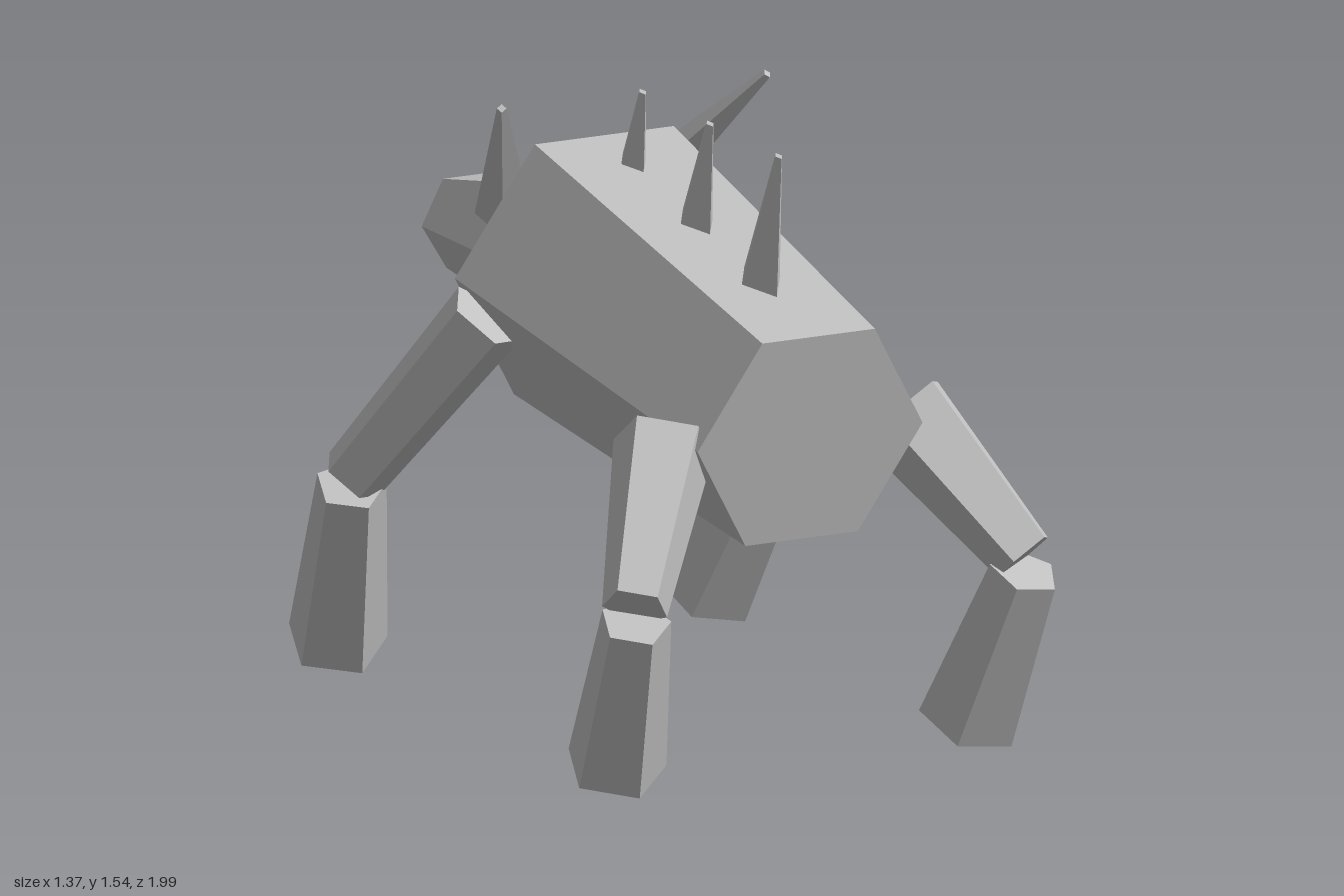
import * as THREE from 'three';

const hide = new THREE.MeshStandardMaterial({ color: 0xc0c0c0 });
hide.name = 'grey';

const vec = (p) => new THREE.Vector3(...p);

// Faceted tapered prism from a to b; one corner of the section points along ref.
function prism(name, a, b, ra, rb, sides, ref, squash = 1) {
  const from = vec(a), to = vec(b);
  const y = to.clone().sub(from);
  const length = y.length();
  y.normalize();
  const z = vec(ref);
  z.addScaledVector(y, -z.dot(y)).normalize();
  const x = y.clone().cross(z);
  const geo = new THREE.CylinderGeometry(rb, ra, length, sides, 1).toNonIndexed();
  geo.scale(squash, 1, 1);
  geo.applyMatrix4(new THREE.Matrix4().makeBasis(x, y, z).setPosition(from.add(to).multiplyScalar(0.5)));
  geo.computeVertexNormals();
  const mesh = new THREE.Mesh(geo, hide);
  mesh.name = name;
  return mesh;
}

export function createModel() {
  const model = new THREE.Group();
  model.name = 'hornedBeast';

  // Body and head, hexagonal with corners at the sides
  model.add(prism('body', [0, 0.865, 0.81], [0, 1.055, -0.325], 0.312, 0.385, 6, [1, 0, 0]));
  model.add(prism('head', [0, 1.06, -0.33], [0, 1.005, -0.986], 0.225, 0.128, 6, [1, 0, 0]));

  // Back spikes: base y, base z, tip z, half length
  const spikes = [
    [1.14, 0.535, 0.645, 0.1],
    [1.22, 0.2, 0.285, 0.085],
    [1.3, -0.13, -0.068, 0.066],
  ];
  for (const [y, z, tipZ, r] of spikes) {
    model.add(prism('backSpike', [0, y, z], [0, 1.54, tipZ], r, 0.016, 4, [0, 0, 1], 0.6));
  }

  for (const s of [1, -1]) {
    const side = s > 0 ? 'left' : 'right';
    const ref = [0, 0, -s];

    // Horn sweeping up and back over the body
    model.add(prism(side + 'Horn', [s * 0.18, 1.165, -0.46], [s * 0.368, 1.532, -0.112], 0.07, 0.012, 4, [0, 1, 0]));

    // Legs: hip, end of upper leg, start of lower leg, foot
    const legs = {
      FrontLeg: [[0.36, 0.98, -0.21], [0.595, 0.545, -0.47], [0.6, 0.525, -0.465], [0.51, 0.065, -0.71]],
      HindLeg: [[0.33, 0.865, 0.67], [0.54, 0.525, 0.915], [0.54, 0.485, 0.915], [0.49, 0.068, 0.715]],
    };
    for (const [part, points] of Object.entries(legs)) {
      const [hip, knee, shin, foot] = points.map(([x, y, z]) => [s * x, y, z]);
      const leg = new THREE.Group();
      leg.name = side + part;
      const hipRadius = part === 'FrontLeg' ? 0.105 : 0.13;
      leg.add(prism('upperLeg', hip, knee, hipRadius, 0.085, 5, ref));
      leg.add(prism('lowerLeg', shin, foot, 0.09, 0.128, 5, ref));
      model.add(leg);
    }
  }
  return model;
}
